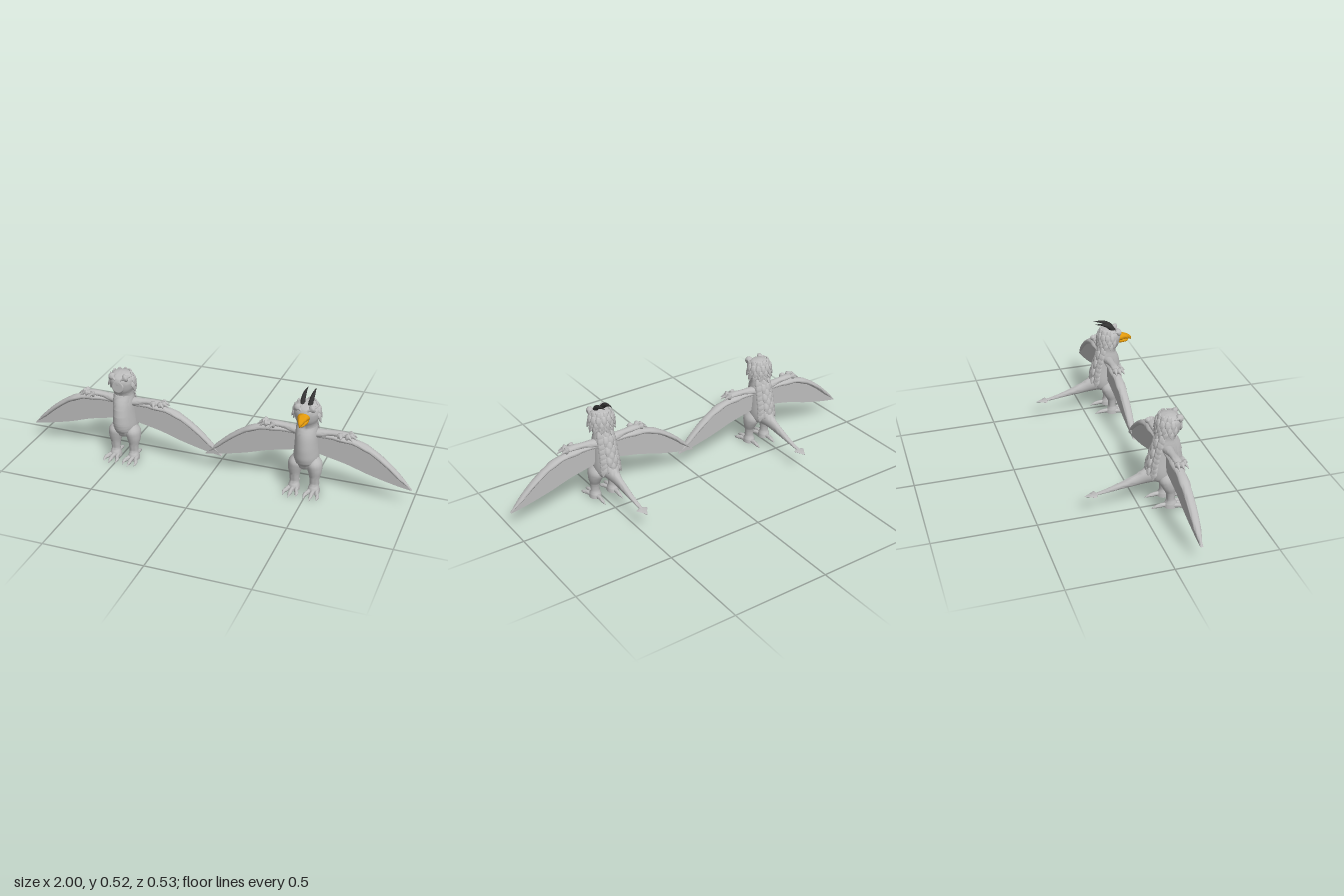
import * as THREE from 'three';
import { toCreasedNormals } from 'three/addons/utils/BufferGeometryUtils.js';

const X = new THREE.Vector3(1, 0, 0), Y = new THREE.Vector3(0, 1, 0), Z = new THREE.Vector3(0, 0, 1);

const grey = new THREE.MeshStandardMaterial({ color: 0xbcbcbc });
grey.name = 'plain grey';
const orange = new THREE.MeshStandardMaterial({ color: 0xe39a0c });
orange.name = 'beak orange';
const dark = new THREE.MeshStandardMaterial({ color: 0x333333 });
dark.name = 'horn charcoal';

// Smooth loft through stations [x, y, z, radius along ref, radius across]
function loft(stations, ref = X, sides = 16, steps = 4) {
  const path = new THREE.CatmullRomCurve3(stations.map(s => new THREE.Vector3(s[0], s[1], s[2])));
  const size = new THREE.CatmullRomCurve3(stations.map(s => new THREE.Vector3(s[3], s[4] ?? s[3], 0)));
  const n = (stations.length - 1) * steps, pos = [], index = [];
  for (let i = 0; i <= n; i++) {
    const c = path.getPoint(i / n), t = path.getTangent(i / n), r = size.getPoint(i / n);
    const u = ref.clone().addScaledVector(t, -ref.dot(t)).normalize();
    const v = t.clone().cross(u);
    for (let j = 0; j < sides; j++) {
      const a = j / sides * Math.PI * 2;
      const p = c.clone().addScaledVector(u, Math.max(r.x, 0.0005) * Math.cos(a))
        .addScaledVector(v, Math.max(r.y, 0.0005) * Math.sin(a));
      pos.push(p.x, Math.max(p.y, 0), p.z);
    }
  }
  for (let i = 0; i < n; i++) for (let j = 0; j < sides; j++) {
    const a = i * sides + j, b = i * sides + (j + 1) % sides, c = b + sides, d = a + sides;
    index.push(a, b, c, a, c, d);
  }
  for (let j = 1; j < sides - 1; j++) {
    index.push(0, j + 1, j, n * sides, n * sides + j, n * sides + j + 1);
  }
  const g = new THREE.BufferGeometry();
  g.setAttribute('position', new THREE.Float32BufferAttribute(pos, 3));
  g.setIndex(index);
  return toCreasedNormals(g, 1);
}

function add(group, name, geometry, material = grey) {
  const m = new THREE.Mesh(geometry, material);
  m.name = name;
  group.add(m);
  return m;
}

// Torso, neck and head as one column: [x, y, z, half width, half depth]
const COLUMN = [
  [0, 0.125, 0.12, 0.015, 0.02], [0, 0.135, 0.122, 0.045, 0.05], [0, 0.16, 0.12, 0.06, 0.07],
  [0, 0.2, 0.12, 0.062, 0.08], [0, 0.25, 0.125, 0.058, 0.078], [0, 0.3, 0.13, 0.055, 0.068],
  [0, 0.34, 0.13, 0.053, 0.055], [0, 0.365, 0.132, 0.05, 0.044], [0, 0.385, 0.135, 0.051, 0.048],
  [0, 0.41, 0.14, 0.06, 0.056], [0, 0.44, 0.142, 0.064, 0.06], [0, 0.465, 0.14, 0.057, 0.052],
  [0, 0.48, 0.14, 0.04, 0.036], [0, 0.487, 0.14, 0.006, 0.006],
];

function ringAt(y) {
  const i = Math.max(1, COLUMN.findIndex(s => s[1] >= y)), a = COLUMN[i - 1], b = COLUMN[i];
  return a.map((v, k) => THREE.MathUtils.lerp(v, b[k], (y - a[1]) / (b[1] - a[1])));
}

// Point on the column; angle 0 faces front, PI faces back
function onColumn(y, angle) {
  const r = ringAt(y);
  return new THREE.Vector3(r[3] * Math.sin(angle), y, r[2] + r[4] * Math.cos(angle));
}

// Pointed feather hanging down and flicking outward along +z; built raised so it stays above zero
const feather = loft([[0, 0.1, -0.008, 0.004, 0.003], [0, 0.087, -0.002, 0.015, 0.008],
  [0, 0.07, 0.004, 0.017, 0.008], [0, 0.054, 0.009, 0.009, 0.005], [0, 0.044, 0.014, 0.001, 0.001]], X, 10, 3);
feather.translate(0, -0.08, 0);

function addFeathers(group, name, y, spread, count, scale) {
  for (let i = 0; i < count; i++) {
    const a = Math.PI + (count > 1 ? (i / (count - 1) * 2 - 1) * spread : 0);
    const f = add(group, name, feather);
    f.position.copy(onColumn(y, a));
    f.rotation.y = a;
    f.scale.setScalar(scale);
  }
}

function addWing(group, s) {
  const top = [[0.03, 0.305], [0.13, 0.308], [0.23, 0.298], [0.31, 0.267], [0.39, 0.212], [0.46, 0.15], [0.521, 0.094]];
  const low = [[0.44, 0.108], [0.31, 0.14], [0.2, 0.175], [0.1, 0.198], [0.03, 0.215]];
  const v = p => new THREE.Vector2(p[0] * s, p[1]);
  const shape = new THREE.Shape();
  shape.moveTo(top[0][0] * s, top[0][1]);
  shape.splineThru(top.slice(1).map(v));
  shape.splineThru(low.map(v));
  const web = new THREE.ExtrudeGeometry(shape, { depth: 0.014, bevelEnabled: false, curveSegments: 24 });
  web.translate(0, 0, 0.115);
  add(group, 'wingMembrane', web);
  // Thick leading edge
  const widths = [0.02, 0.022, 0.022, 0.022, 0.021, 0.017, 0.002];
  add(group, 'wingLeadingEdge', loft(top.map((p, i) =>
    [p[0] * s, p[1], 0.122, widths[i], widths[i] * 0.6]), Z));
}

function addArm(group, s) {
  add(group, 'arm', loft([[0.02 * s, 0.312, 0.125, 0.03, 0.026], [0.07 * s, 0.32, 0.125, 0.024, 0.02],
    [0.12 * s, 0.328, 0.124, 0.018, 0.014], [0.17 * s, 0.332, 0.126, 0.022, 0.012],
    [0.205 * s, 0.33, 0.13, 0.022, 0.009], [0.215 * s, 0.328, 0.131, 0.008, 0.004]], Z));
  for (const [x, z, x0, z0] of [[0.245, 0.112, 0.195, 0.116], [0.248, 0.138, 0.2, 0.13],
    [0.232, 0.16, 0.19, 0.14], [0.18, 0.174, 0.16, 0.138]]) {
    add(group, 'handClaw', loft([[x0 * s, 0.332, z0, 0.008], [(x0 + x) / 2 * s, 0.332, (z0 + z) / 2, 0.008],
      [x * s, 0.318, z, 0.001]], Y, 8));
  }
}

function addLeg(group, s) {
  add(group, 'leg', loft([[0.038 * s, 0.19, 0.13, 0.02, 0.03], [0.046 * s, 0.15, 0.135, 0.038, 0.048],
    [0.05 * s, 0.115, 0.14, 0.034, 0.038], [0.05 * s, 0.08, 0.144, 0.025, 0.024],
    [0.05 * s, 0.045, 0.144, 0.023, 0.02], [0.05 * s, 0.02, 0.146, 0.029, 0.032],
    [0.05 * s, 0.002, 0.146, 0.03, 0.034]]));
  // Three front toes and one behind, each ending in a claw
  for (const [x, z] of [[0.02, 0.228], [0.052, 0.242], [0.084, 0.228], [0.05, 0.048]]) {
    const mid = (0.05 + x) / 2, step = z - 0.146;
    add(group, 'toe', loft([[mid * s, 0.014, 0.146 + step * 0.1, 0.011, 0.012],
      [(mid + x) / 2 * s, 0.013, 0.146 + step * 0.5, 0.01, 0.011],
      [x * s, 0.01, 0.146 + step * 0.72, 0.009, 0.009], [x * s, 0.002, z, 0.001]], X, 10));
  }
}

function addFace(group, s) {
  const eye = add(group, 'eye', new THREE.SphereGeometry(0.011, 16, 10));
  eye.position.set(0.04 * s, 0.455, 0.181);
  eye.rotation.y = 0.75 * s;
  eye.scale.set(0.8, 1, 0.4);
  add(group, 'brow', loft([[0.008 * s, 0.452, 0.196, 0.002], [0.025 * s, 0.463, 0.189, 0.007],
    [0.045 * s, 0.472, 0.173, 0.007], [0.058 * s, 0.474, 0.15, 0.002]], Y, 10));
}

function createCreature() {
  const g = new THREE.Group();
  add(g, 'bodyAndHead', loft(COLUMN, X, 32));
  for (const s of [-1, 1]) {
    addWing(g, s);
    addArm(g, s);
    addLeg(g, s);
    addFace(g, s);
  }
  // Tail with a flat arrow tip
  add(g, 'tail', loft([[0, 0.175, 0.1, 0.05, 0.045], [0, 0.166, 0.05, 0.035, 0.041],
    [0, 0.15, 0, 0.021, 0.03], [0, 0.13, -0.08, 0.016, 0.018], [0, 0.114, -0.15, 0.012, 0.01],
    [0, 0.102, -0.215, 0.008, 0.005]]));
  add(g, 'tailTip', loft([[0, 0.103, -0.205, 0.008, 0.005], [0, 0.102, -0.214, 0.03, 0.005],
    [0, 0.101, -0.237, 0.016, 0.004], [0, 0.099, -0.265, 0.001, 0.002]], X, 12));
  // Feathers down the back and around the head
  for (let i = 0; i < 8; i++) addFeathers(g, 'backFeather', 0.2 + i * 0.024, 0.75, i % 2 ? 3 : 4, 1.05);
  [[0.472, 1.3, 5], [0.452, 1.6, 8], [0.43, 1.75, 9], [0.408, 1.5, 7]].forEach(([y, spread, n]) =>
    addFeathers(g, 'headFeather', y, spread, n, 0.8));
  return g;
}

// Overlapping belly plates and an open round mouth
function addPlatedFront(g) {
  for (let i = 0; i < 6; i++) {
    const y = 0.145 + i * 0.036;
    add(g, 'bellyPlate', loft([0, 0.5, 1].map(k => {
      const r = ringAt(y + k * 0.036), flare = 0.012 - k * 0.004;
      return [0, r[1], r[2] + flare, r[3] * 0.88, r[4] * 0.98];
    }), X, 28, 2));
  }
  const rim = add(g, 'mouthRim', new THREE.TorusGeometry(0.026, 0.006, 10, 28));
  rim.position.set(0, 0.42, 0.195);
  const inside = add(g, 'mouthInside', new THREE.CircleGeometry(0.026, 28));
  inside.position.set(0, 0.42, 0.201);
}

// Hooked beak and swept-back horns
function addBeakAndHorns(g) {
  add(g, 'upperBeak', loft([[0, 0.424, 0.18, 0.031, 0.024], [0, 0.428, 0.212, 0.027, 0.019],
    [0, 0.424, 0.238, 0.018, 0.015], [0, 0.414, 0.257, 0.008, 0.01], [0, 0.404, 0.265, 0.001, 0.002]]), orange);
  add(g, 'lowerBeak', loft([[0, 0.411, 0.18, 0.027, 0.016], [0, 0.406, 0.212, 0.023, 0.012],
    [0, 0.402, 0.238, 0.012, 0.008], [0, 0.401, 0.25, 0.002, 0.003]]), orange);
  for (const s of [-1, 1]) {
    add(g, 'horn', loft([[0.018 * s, 0.472, 0.16, 0.012, 0.017], [0.02 * s, 0.492, 0.147, 0.011, 0.014],
      [0.021 * s, 0.509, 0.122, 0.009, 0.01], [0.021 * s, 0.518, 0.093, 0.005, 0.005],
      [0.02 * s, 0.521, 0.064, 0.001]], X, 14), dark);
  }
}

export function createModel() {
  const model = new THREE.Group();
  const plated = createCreature();
  plated.name = 'platedCreature';
  plated.position.x = -0.478;
  addPlatedFront(plated);
  const beaked = createCreature();
  beaked.name = 'beakedCreature';
  beaked.position.x = 0.478;
  addBeakAndHorns(beaked);
  model.add(plated, beaked);
  return model;
}
